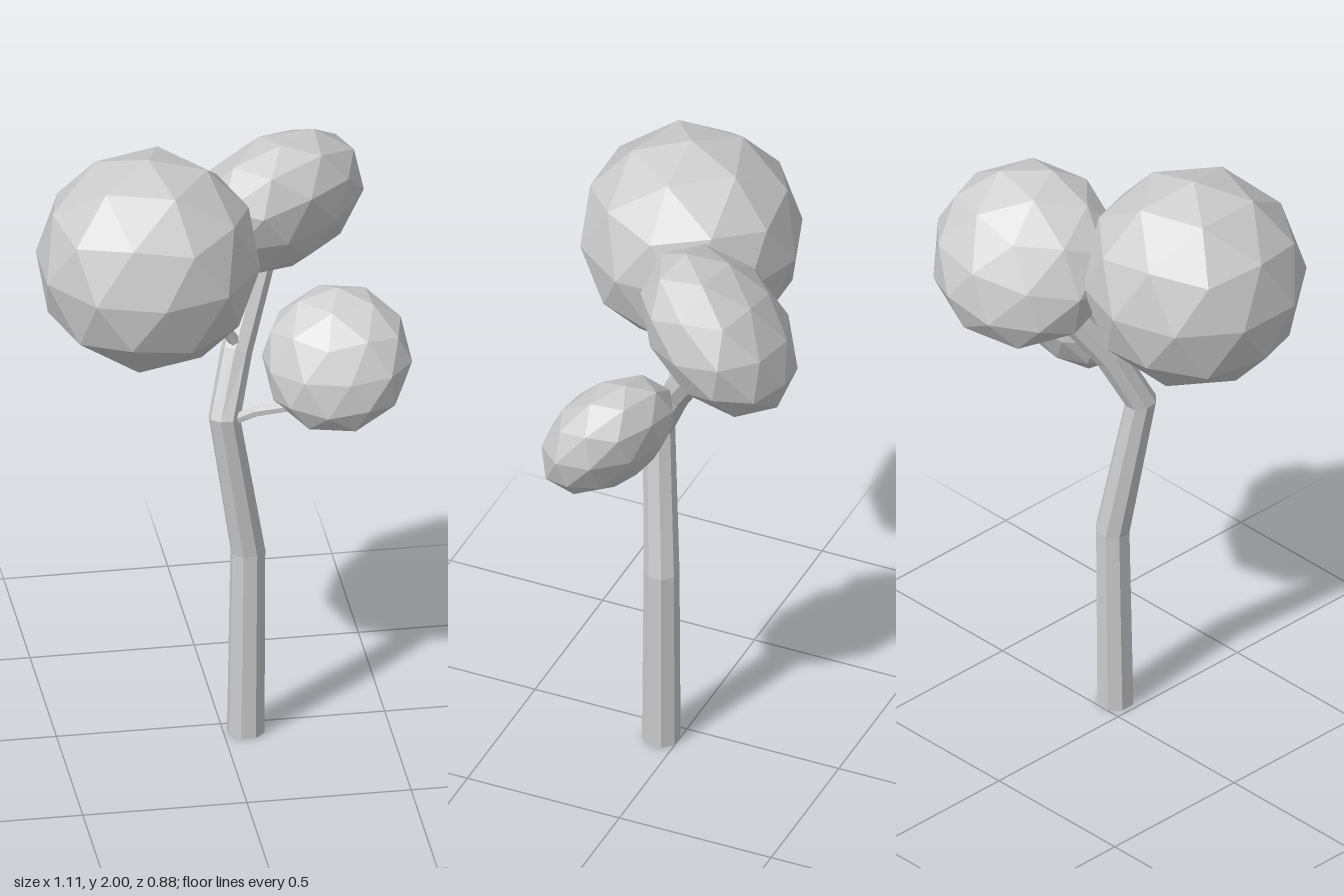
import * as THREE from 'three';

const gray = new THREE.MeshStandardMaterial({ color: 0xcccccc, flatShading: true, side: THREE.DoubleSide });
gray.name = 'plain gray';

// Faceted tube along bent centre points [x, y, z, radius], open at both ends
function bentTube(name, points, sides) {
  const centres = points.map(p => new THREE.Vector3(p[0], p[1], p[2]));
  const pos = [], index = [];
  points.forEach((p, i) => {
    const before = centres[Math.max(i - 1, 0)], after = centres[Math.min(i + 1, points.length - 1)];
    const dirIn = centres[i].clone().sub(before).normalize();
    const dirOut = after.clone().sub(centres[i]).normalize();
    const tangent = dirIn.add(dirOut).normalize();
    const across = new THREE.Vector3(0, 0, 1).addScaledVector(tangent, -tangent.z).normalize();
    const side = new THREE.Vector3().crossVectors(tangent, across);
    for (let j = 0; j < sides; j++) {
      const a = (j + 0.5) / sides * Math.PI * 2;
      const v = centres[i].clone()
        .addScaledVector(across, Math.cos(a) * p[3])
        .addScaledVector(side, Math.sin(a) * p[3]);
      pos.push(v.x, v.y, v.z);
      if (i < points.length - 1) {
        const k = (j + 1) % sides, r = i * sides, s = r + sides;
        index.push(r + j, r + k, s + k, r + j, s + k, s + j);
      }
    }
  });
  const geo = new THREE.BufferGeometry();
  geo.setAttribute('position', new THREE.Float32BufferAttribute(pos, 3));
  geo.setIndex(index);
  geo.computeVertexNormals();
  const mesh = new THREE.Mesh(geo, gray);
  mesh.name = name;
  return mesh;
}

// Faceted foliage ball, flattened along the given axis
function crown(name, centre, radius, thickness, axis) {
  const geo = new THREE.IcosahedronGeometry(1, 1);
  geo.rotateZ(-Math.atan(2 / (1 + Math.sqrt(5)))); // one corner straight up
  geo.scale(radius, thickness, radius);
  const mesh = new THREE.Mesh(geo, gray);
  mesh.name = name;
  mesh.position.set(...centre);
  mesh.quaternion.setFromUnitVectors(new THREE.Vector3(0, 1, 0), new THREE.Vector3(...axis).normalize());
  return mesh;
}

export function createModel() {
  const tree = new THREE.Group();
  tree.name = 'tree';

  // Crooked trunk leaning back into the rear crown
  tree.add(bentTube('trunk', [
    [0.068, 0, 0.054, 0.058],
    [0.075, 0.62, 0.05, 0.054],
    [-0.003, 1.1, 0.093, 0.049],
    [0.047, 1.28, 0.01, 0.048],
    [0.14, 1.5, -0.13, 0.046],
    [0.16, 1.58, -0.16, 0.04],
  ], 8));

  // Thin branches carrying the other crowns
  tree.add(bentTube('upperBranch', [
    [0.045, 1.31, 0.02, 0.018],
    [-0.02, 1.42, 0.05, 0.017],
    [-0.12, 1.55, 0.08, 0.015],
  ], 6));
  tree.add(bentTube('lowerBranch', [
    [0.01, 1.085, 0.09, 0.019],
    [0.085, 1.135, 0.135, 0.017],
    [0.22, 1.15, 0.145, 0.015],
  ], 6));

  // Foliage
  tree.add(crown('largeCrown', [-0.235, 1.66, 0.09], 0.342, 0.342, [0, 1, 0]));
  tree.add(crown('rearCrown', [0.2, 1.668, -0.195], 0.29, 0.195, [-0.4, 0.63, -0.66]));
  tree.add(crown('smallCrown', [0.337, 1.283, 0.11], 0.23, 0.15, [-0.3, 0.57, 0.77]));
  return tree;
}
